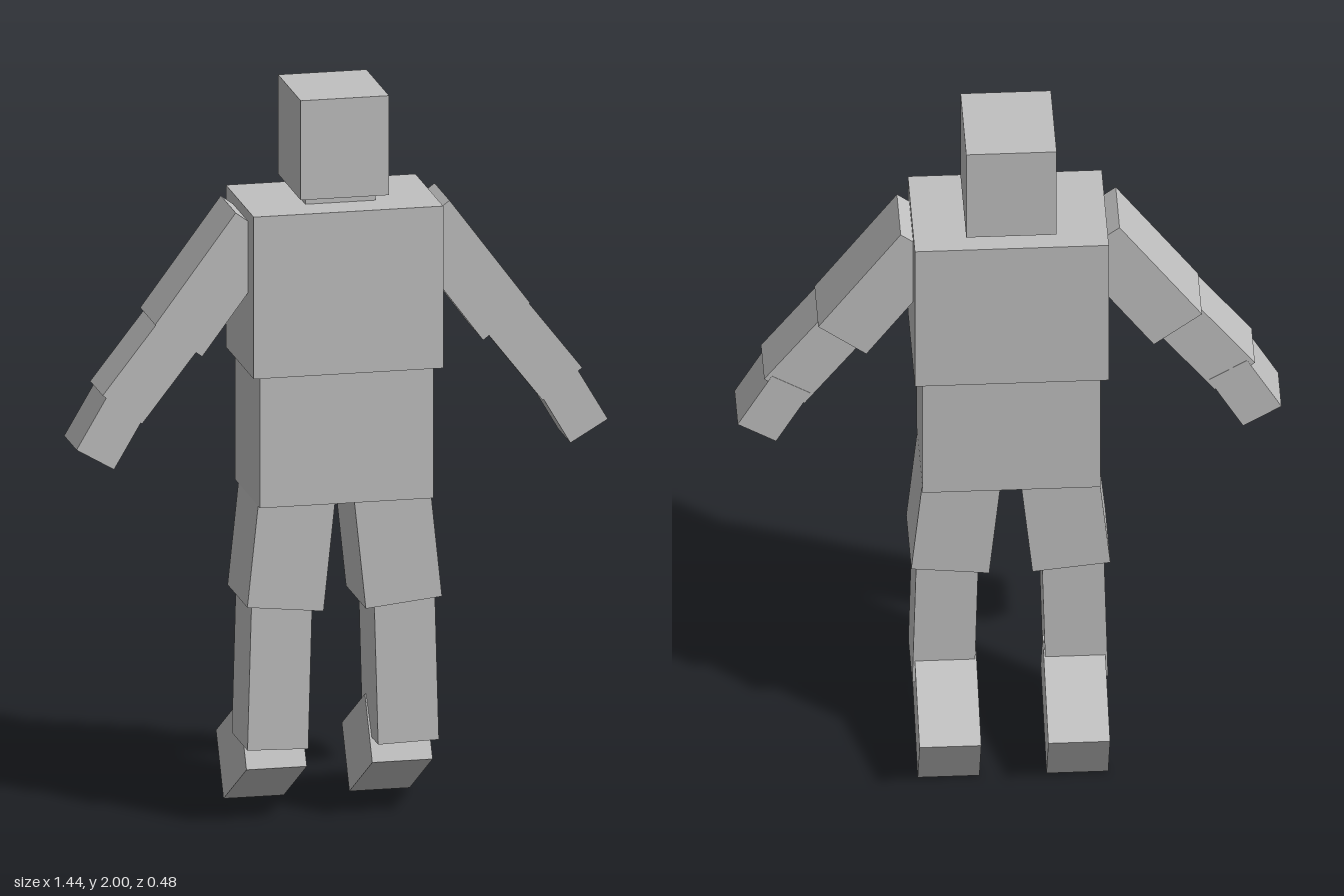
import * as THREE from 'three';

export function createModel() {
  const model = new THREE.Group();
  const grey = new THREE.MeshStandardMaterial({ color: 0xc0c0c0 });
  grey.name = 'lightGrey';

  function box(name, size, pos, parent = model) {
    const mesh = new THREE.Mesh(new THREE.BoxGeometry(...size), grey);
    mesh.name = name;
    mesh.position.set(...pos);
    parent.add(mesh);
    return mesh;
  }

  // Limb segment: end is the centre of its lower face, splay tilts that end outward
  function segment(name, side, [w, length, d], [x, y, z], splay, parent) {
    const mesh = box(name, [w, length, d], [
      side * (x - Math.sin(splay) * length / 2),
      y + Math.cos(splay) * length / 2,
      z,
    ], parent);
    mesh.rotation.z = side * splay;
  }

  // Head and trunk
  box('head', [0.24, 0.273, 0.273], [0, 1.8635, 0.056]);
  box('neck', [0.19, 0.08, 0.128], [0, 1.71, 0.074]);
  box('chest', [0.515, 0.445, 0.336], [0, 1.4775, 0.068]);
  box('pelvis', [0.472, 0.362, 0.303], [0, 1.075, 0.064]);

  for (const side of [1, -1]) {
    const prefix = side > 0 ? 'left' : 'right';

    // Arm
    const arm = new THREE.Group();
    arm.name = prefix + 'Arm';
    segment(prefix + 'UpperArm', side, [0.159, 0.367, 0.181], [0.4456, 1.353, 0.0745], 0.639, arm);
    segment(prefix + 'Forearm', side, [0.136, 0.27, 0.152], [0.598, 1.172, 0.087], 0.663, arm);
    segment(prefix + 'Hand', side, [0.118, 0.18, 0.15], [0.671, 1.038, 0.085], 0.53, arm);

    // Leg, with the foot pointing back and down
    const leg = new THREE.Group();
    leg.name = prefix + 'Leg';
    segment(prefix + 'Thigh', side, [0.208, 0.4, 0.24], [0.161, 0.605, 0.07], 0.105, leg);
    segment(prefix + 'Shin', side, [0.165, 0.43, 0.19], [0.1775, 0.216, 0.077], 0.027, leg);
    const foot = box(prefix + 'Foot', [0.164, 0.188, 0.317], [side * 0.171, 0.16, -0.056], leg);
    foot.rotation.x = -0.5;

    model.add(arm, leg);
  }
  return model;
}
